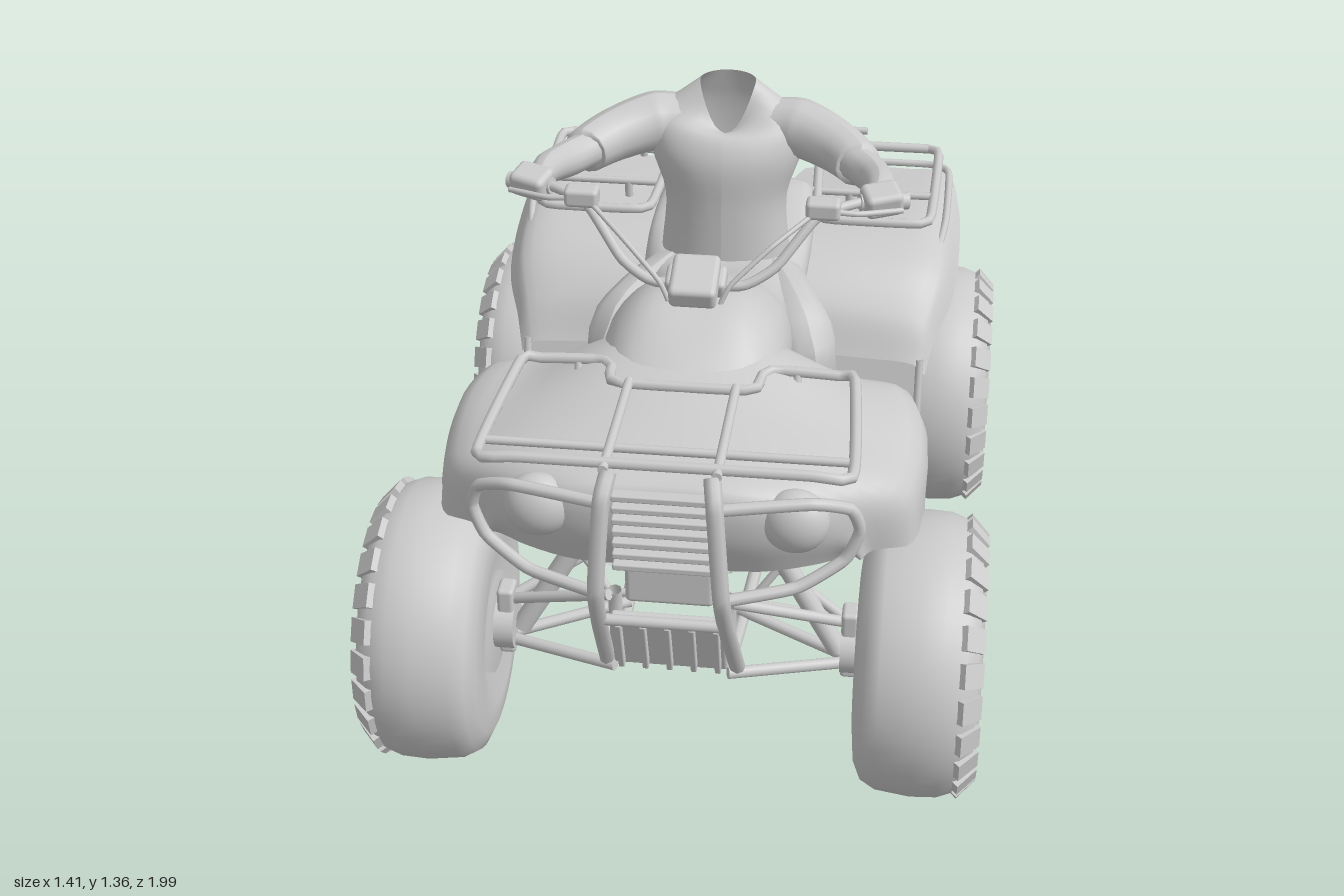
import * as THREE from 'three';
import { mergeGeometries } from 'three/addons/utils/BufferGeometryUtils.js';
import { RoundedBoxGeometry } from 'three/addons/geometries/RoundedBoxGeometry.js';

const mat = new THREE.MeshStandardMaterial({ color: 0xcccccc, side: THREE.DoubleSide });
const V = (p) => new THREE.Vector3(p[0], p[1], p[2]);

export function createModel() {
  const root = new THREE.Group();
  const add = (name, geo, parent = root) => {
    const m = new THREE.Mesh(geo, mat);
    m.name = name;
    parent.add(m);
    return m;
  };
  const both = (fn) => [1, -1].forEach((s) => fn(s, (pts) => pts.map(([x, ...r]) => [x * s, ...r])));
  const box = (name, w, h, d, x, y, z, rx = 0) => {
    const m = add(name, new RoundedBoxGeometry(w, h, d, 2, Math.min(w, h, d) * 0.25));
    m.position.set(x, y, z);
    m.rotation.x = rx;
    return m;
  };
  // Tube through points, tight corners
  const tube = (name, pts, r, closed = false) => add(name, new THREE.TubeGeometry(
    new THREE.CatmullRomCurve3(pts.map(V), closed, 'catmullrom', 0.25), pts.length * 6, r, 8, closed));
  // Straight rod between two points
  const rod = (name, a, b, r, sides = 12) => {
    const d = V(b).sub(V(a));
    const m = add(name, new THREE.CylinderGeometry(r, r, d.length(), sides));
    m.position.copy(V(a)).addScaledVector(d, 0.5);
    m.quaternion.setFromUnitVectors(new THREE.Vector3(0, 1, 0), d.normalize());
    return m;
  };
  // Tapered limb: each point is x, y, z, radius
  const limb = (name, pts) => {
    const curve = new THREE.CatmullRomCurve3(pts.map(V));
    const n = 28, sides = 14, geo = new THREE.TubeGeometry(curve, n, 1, sides);
    const p = geo.attributes.position, v = new THREE.Vector3();
    for (let i = 0; i <= n; i++) {
      const c = curve.getPointAt(i / n), t = curve.getUtoTmapping(i / n) * (pts.length - 1);
      const k = Math.min(Math.floor(t), pts.length - 2);
      const r = THREE.MathUtils.lerp(pts[k][3], pts[k + 1][3], t - k);
      for (let j = 0; j <= sides; j++) {
        const q = i * (sides + 1) + j;
        v.fromBufferAttribute(p, q).sub(c).multiplyScalar(r).add(c);
        p.setXYZ(q, v.x, v.y, v.z);
      }
    }
    geo.computeVertexNormals();
    return add(name, geo);
  };
  // Smooth skin over a row of cross-sections
  const skin = (name, rows, nu = 32, nv = 30, closed = false) => {
    const cross = rows.map((r) => new THREE.CatmullRomCurve3(r.map(V), closed).getPoints(nu));
    const pos = [], idx = [];
    for (let i = 0; i <= nu; i++) {
      new THREE.CatmullRomCurve3(cross.map((c) => c[i])).getPoints(nv).forEach((p) => pos.push(p.x, p.y, p.z));
      if (i < nu) for (let j = 0; j < nv; j++) {
        const a = i * (nv + 1) + j, b = a + nv + 1;
        idx.push(a, b, a + 1, b, b + 1, a + 1);
      }
    }
    const geo = new THREE.BufferGeometry();
    geo.setAttribute('position', new THREE.Float32BufferAttribute(pos, 3));
    geo.setIndex(idx);
    geo.computeVertexNormals();
    return add(name, geo);
  };
  // Half section given as x, y and optional z shift at depth z, mirrored across the middle
  const half = (z, ...p) => {
    const side = (s) => p.map(([x, y, dz = 0]) => [x * s, y, z + dz]);
    return [...side(-1).slice(1).reverse(), ...side(1)];
  };

  // Bodywork
  skin('frontCowl', [
    half(0.83, [0, 0.75], [0.2, 0.75], [0.32, 0.75, -0.04], [0.38, 0.745, -0.08], [0.41, 0.74, -0.1]),
    half(0.87, [0, 0.86], [0.2, 0.86], [0.33, 0.84, -0.05], [0.39, 0.8, -0.09], [0.42, 0.75, -0.11]),
    half(0.86, [0, 0.97], [0.2, 0.96], [0.34, 0.92, -0.05], [0.41, 0.85, -0.09], [0.44, 0.76, -0.12]),
    half(0.74, [0, 1.0], [0.2, 0.99], [0.38, 0.95, -0.01], [0.5, 0.88, -0.04], [0.53, 0.75, -0.05]),
    half(0.58, [0, 1.03], [0.2, 1.01], [0.4, 0.95], [0.53, 0.88], [0.55, 0.72]),
    half(0.4, [0, 1.07], [0.17, 1.05], [0.36, 0.96], [0.53, 0.9], [0.55, 0.68]),
    half(0.27, [0, 1.05], [0.17, 1.0], [0.35, 0.92], [0.49, 0.89], [0.53, 0.66]),
    half(0.2, [0, 0.95], [0.17, 0.88], [0.33, 0.76], [0.48, 0.74], [0.52, 0.64]),
  ]);
  skin('tankAndSeat', [
    half(0.52, [0, 1.04], [0.13, 1.02], [0.18, 0.98], [0.2, 0.9], [0.18, 0.76]),
    half(0.34, [0, 1.13], [0.12, 1.12], [0.2, 1.04], [0.22, 0.9], [0.2, 0.72]),
    half(0.15, [0, 1.1], [0.12, 1.08], [0.2, 1.0], [0.21, 0.85], [0.18, 0.64]),
    half(0, [0, 1.025], [0.11, 1.01], [0.18, 0.94], [0.2, 0.82], [0.17, 0.62]),
    half(-0.2, [0, 0.94], [0.15, 0.93], [0.2, 0.87], [0.2, 0.79], [0.18, 0.64]),
    half(-0.45, [0, 0.93], [0.17, 0.93], [0.21, 0.91], [0.21, 0.83], [0.19, 0.74]),
    half(-0.69, [0, 0.94], [0.17, 0.94], [0.2, 0.91], [0.21, 0.87], [0.21, 0.82]),
    half(-0.72, [0, 0.86], [0.17, 0.86], [0.2, 0.85], [0.21, 0.84], [0.21, 0.82]),
  ]);
  skin('rearFender', [
    half(-0.24, [0.01, 0.68], [0.2, 0.67], [0.4, 0.66], [0.5, 0.65], [0.53, 0.62]),
    half(-0.3, [0.01, 0.8], [0.2, 0.79], [0.4, 0.77], [0.52, 0.74], [0.55, 0.69]),
    half(-0.42, [0.01, 0.87], [0.2, 0.87], [0.42, 0.86], [0.55, 0.83], [0.59, 0.75]),
    half(-0.7, [0.01, 0.88], [0.2, 0.88], [0.45, 0.89], [0.55, 0.88], [0.6, 0.82]),
    half(-0.93, [0.01, 0.86, 0.09], [0.12, 0.86, 0.09], [0.17, 0.86], [0.45, 0.87], [0.55, 0.87, 0.01], [0.58, 0.85, 0.05]),
  ].map((r) => new THREE.CatmullRomCurve3(r.map(V)).getPoints(16).map((p) => p.toArray())));
  both((s, mx) => {
    const path = [[0.65, 0.22], [0.52, 0.25], [0.41, 0.2], [0.38, 0.1], [0.38, -0.1], [0.42, -0.19], [0.55, -0.22], [0.66, -0.25]];
    skin('footwell', path.map(([y, z]) => mx([[0.2, y, z], [0.36, y, z], [0.52, y, z]])), 6, 30);
    tube('footwellRim', path.map(([y, z]) => [0.515 * s, y, z]), 0.01);
    tube('lowerFrameRail', mx([[0.13, 0.62, 0.76], [0.13, 0.42, 0.72], [0.15, 0.38, 0.3], [0.15, 0.36, -0.1], [0.14, 0.42, -0.27], [0.14, 0.8, -0.42]]), 0.016);
    tube('upperFrameRail', mx([[0.13, 0.73, 0.8], [0.13, 0.7, 0.4], [0.14, 0.62, 0.1], [0.14, 0.66, -0.25], [0.14, 0.83, -0.6], [0.14, 0.84, -0.82]]), 0.014);
    tube('frameBrace', mx([[0.14, 0.72, 0.5], [0.14, 0.38, 0.25]]), 0.014);
  });

  // Engine
  box('engineCase', 0.26, 0.25, 0.44, 0, 0.51, 0.06);
  box('cylinderBlock', 0.2, 0.2, 0.2, 0, 0.67, 0.12, -0.2);
  both((s) => rod('engineCover', [0.12 * s, 0.55, 0.12], [0.19 * s, 0.55, 0.12], 0.1, 28));
  rod('exhaust', [0.3, 0.765, -0.5], [0.3, 0.765, -0.9], 0.034, 20);
  tube('exhaustPipe', [[0.1, 0.66, 0.18], [0.17, 0.6, 0.05], [0.18, 0.68, -0.25], [0.3, 0.765, -0.5]], 0.018);

  // Front face: grille, lamps, bumper
  for (let i = 0; i < 7; i++) box('grilleSlat', 0.22, 0.016, 0.03, 0, 0.79 + i * 0.03, 0.89);
  box('frontSkidPlate', 0.26, 0.17, 0.03, 0, 0.52, 0.8, 0.3);
  for (let i = -2; i <= 2; i++) box('skidRib', 0.014, 0.16, 0.03, i * 0.055, 0.52, 0.82, 0.3);
  box('radiator', 0.2, 0.12, 0.05, 0, 0.68, 0.78);
  both((s, mx) => {
    const lamp = add('headlight', new THREE.SphereGeometry(0.075, 24, 16));
    lamp.position.set(0.28 * s, 0.9, 0.84);
    lamp.scale.z = 0.75;
    tube('headlightGuard', mx([[0.12, 0.99, 0.95], [0.32, 0.995, 0.91], [0.4, 0.96, 0.87], [0.42, 0.9, 0.86], [0.39, 0.83, 0.87], [0.29, 0.775, 0.91], [0.13, 0.76, 0.96]]), 0.014);
    tube('bumperPost', mx([[0.11, 1.05, 0.92], [0.12, 1.0, 0.965], [0.135, 0.78, 0.975], [0.14, 0.66, 0.92], [0.15, 0.42, 0.76]]), 0.019);
  });
  rod('bumperCrossBar', [-0.14, 0.66, 0.92], [0.14, 0.66, 0.92], 0.013);

  // Front rack
  tube('frontRackFrame', [[-0.4, 1.045, 0.87], [-0.38, 1.035, 0.47], [-0.34, 1.03, 0.45], [-0.2, 1.035, 0.45], [-0.17, 1.035, 0.48],
    [-0.15, 1.04, 0.55], [0.15, 1.04, 0.55], [0.17, 1.035, 0.48], [0.2, 1.035, 0.45], [0.34, 1.03, 0.45], [0.38, 1.035, 0.47],
    [0.4, 1.045, 0.87], [0.3, 1.06, 0.9], [-0.3, 1.06, 0.9]], 0.013, true);
  both((s, mx) => {
    rod('frontRackBar', ...mx([[0.12, 1.045, 0.55], [0.12, 1.06, 0.93]]), 0.011);
    rod('frontRackLeg', ...mx([[0.25, 1.03, 0.45], [0.25, 0.99, 0.47]]), 0.01);
  });
  rod('frontRackCross', [-0.39, 1.045, 0.82], [0.39, 1.045, 0.82], 0.01);

  // Rear rack
  both((s, mx) => {
    tube('rearRackLoop', mx([[0.2, 0.93, -0.93], [0.22, 0.93, -0.53], [0.26, 0.93, -0.49], [0.48, 0.93, -0.49], [0.52, 0.93, -0.53], [0.53, 0.93, -0.91], [0.5, 0.93, -0.94]]), 0.013);
    tube('rearSideRail', mx([[0.54, 0.84, -0.48], [0.56, 0.875, -0.62], [0.56, 0.88, -0.9], [0.5, 0.87, -0.965], [0.2, 0.87, -0.965]]), 0.01);
    rod('rearRackBar', ...mx([[0.2, 0.93, -0.65], [0.53, 0.93, -0.65]]), 0.01);
    rod('rearRackPost', ...mx([[0.3, 0.86, -0.94], [0.3, 0.985, -0.92]]), 0.011);
    rod('rearRackLeg', ...mx([[0.3, 0.93, -0.65], [0.3, 0.87, -0.65]]), 0.011);
  });
  rod('rearRackBackBar', [-0.5, 0.93, -0.94], [0.5, 0.93, -0.94], 0.013);
  rod('rearRackTopBar', [-0.33, 0.985, -0.92], [0.33, 0.985, -0.92], 0.01);
  box('tailLamp', 0.18, 0.06, 0.05, 0, 0.87, -0.95);

  // Steering
  rod('steeringColumn', [0, 0.6, 0.55], [0, 1.15, 0.28], 0.025);
  box('instrumentPod', 0.11, 0.055, 0.13, 0, 1.18, 0.32, 0.3);
  box('podBase', 0.14, 0.045, 0.07, 0, 1.165, 0.29, 0.3);
  tube('handlebar', [[-0.47, 1.29, 0.08], [-0.38, 1.3, 0.11], [-0.27, 1.29, 0.18], [-0.18, 1.19, 0.25], [-0.1, 1.15, 0.28],
    [0.1, 1.15, 0.28], [0.18, 1.19, 0.25], [0.27, 1.29, 0.18], [0.38, 1.3, 0.11], [0.47, 1.29, 0.08]], 0.012);
  both((s, mx) => {
    rod('grip', ...mx([[0.36, 1.3, 0.12], [0.47, 1.29, 0.08]]), 0.02);
    box('controlPod', 0.08, 0.045, 0.05, 0.28 * s, 1.31, 0.18);
    tube('brakeLever', mx([[0.27, 1.31, 0.19], [0.36, 1.3, 0.18], [0.46, 1.29, 0.13]]), 0.007);
    tube('brakeCable', mx([[0.26, 1.3, 0.19], [0.17, 1.25, 0.27], [0.08, 1.17, 0.32], [0.04, 1.08, 0.34]]), 0.006);
  });

  // Suspension and axles
  both((s, mx) => {
    for (const z of [0.54, 0.78]) {
      rod('lowerArm', ...mx([[0.13, 0.42, z], [0.42, 0.39, 0.665]]), 0.014);
      rod('upperArm', ...mx([[0.14, 0.62, z], [0.4, 0.5, 0.665]]), 0.013);
    }
    rod('frontShock', ...mx([[0.17, 0.76, 0.62], [0.37, 0.42, 0.66]]), 0.024);
    rod('shockStrut', ...mx([[0.33, 0.74, 0.58], [0.16, 0.5, 0.62]]), 0.01);
    rod('tieRod', ...mx([[0.06, 0.5, 0.6], [0.4, 0.46, 0.6]]), 0.01);
    rod('frontHub', ...mx([[0.38, 0.43, 0.665], [0.45, 0.43, 0.665]]), 0.06, 20);
    box('knuckle', 0.04, 0.18, 0.06, 0.4 * s, 0.45, 0.665);
    rod('swingArm', ...mx([[0.09, 0.44, -0.12], [0.12, 0.36, -0.67]]), 0.028, 8);
    rod('swingArmBrace', ...mx([[0.08, 0.6, -0.3], [0.1, 0.39, -0.62]]), 0.018, 8);
    rod('bearingFlange', ...mx([[0.13, 0.345, -0.665], [0.16, 0.345, -0.665]]), 0.045, 20);
    rod('rearHub', ...mx([[0.38, 0.345, -0.665], [0.42, 0.345, -0.665]]), 0.05, 20);
  });
  rod('rearAxle', [-0.42, 0.345, -0.665], [0.42, 0.345, -0.665], 0.028, 16);
  rod('brakeDisc', [-0.115, 0.345, -0.665], [-0.105, 0.345, -0.665], 0.075, 28);
  rod('sprocket', [0.1, 0.345, -0.665], [0.11, 0.345, -0.665], 0.065, 20);
  rod('rearShock', [0, 0.4, -0.52], [0, 0.78, -0.34], 0.035, 16);

  // Wheels
  const tireGeo = new THREE.LatheGeometry([[0, -0.132], [0.12, -0.132], [0.122, -0.115], [0.19, -0.14], [0.26, -0.133], [0.3, -0.115],
    [0.32, -0.08], [0.33, 0], [0.327, 0.06], [0.31, 0.105], [0.285, 0.133], [0.23, 0.143], [0.185, 0.14], [0.172, 0.11], [0.16, 0.06], [0.12, 0.05],
  ].map(([r, a]) => new THREE.Vector2(r, a)), 56).rotateZ(-Math.PI / 2);
  const lugs = [];
  for (let i = 0; i < 24; i++) {
    lugs.push(new THREE.BoxGeometry(0.026, 0.06, 0.055).rotateZ(0.75).translate(0.116, 0.294, 0).rotateX(i * Math.PI / 12));
  }
  const lugGeo = mergeGeometries(lugs);
  const disc = new THREE.Shape().absarc(0, 0, 0.135, 0, Math.PI * 2);
  for (let i = 0; i < 7; i++) {
    const a = i * Math.PI * 2 / 7;
    disc.holes.push(new THREE.Path().absarc(0.1 * Math.cos(a), 0.1 * Math.sin(a), 0.024, 0, Math.PI * 2, true));
  }
  const discGeo = new THREE.ExtrudeGeometry(disc, { depth: 0.015, bevelEnabled: false, curveSegments: 24 }).rotateY(Math.PI / 2).translate(0.05, 0, 0);
  const hubGeo = new THREE.CylinderGeometry(0.03, 0.055, 0.05, 20).rotateZ(-Math.PI / 2).translate(0.085, 0, 0);
  const wheelParts = { tire: tireGeo, treadLugs: lugGeo, rimDisc: discGeo, hub: hubGeo };
  for (const [label, y, z] of [['front', 0.43, 0.665], ['rear', 0.34, -0.665]]) both((s) => {
    const w = new THREE.Group();
    w.name = label + 'Wheel';
    w.position.set(0.558 * s, y, z);
    if (s < 0) w.rotation.y = Math.PI;
    Object.entries(wheelParts).forEach(([n, g]) => add(n, g, w));
    root.add(w);
  });

  // Rider: torso rings from hips to open collar; the last rings dip at the chest
  const ring = (y, rx, rz, z, dip = 0) => Array.from({ length: 16 }, (_, i) => {
    const a = i * Math.PI / 8, f = Math.max(0, Math.cos(a));
    return [rx * Math.sin(a), y - dip * f ** 2, z + rz * Math.cos(a)];
  });
  skin('riderTorso', [ring(0.82, 0.17, 0.12, -0.33), ring(0.92, 0.165, 0.115, -0.33), ring(1.08, 0.155, 0.115, -0.335), ring(1.2, 0.19, 0.115, -0.34),
    ring(1.28, 0.19, 0.095, -0.355, 0.02), ring(1.33, 0.125, 0.075, -0.365, 0.07), ring(1.37, 0.07, 0.06, -0.37, 0.12)], 32, 24, true);
  both((s, mx) => {
    limb('riderSleeve', mx([[0.08, 1.26, -0.37, 0.06], [0.18, 1.255, -0.355, 0.075], [0.28, 1.24, -0.29, 0.066], [0.34, 1.23, -0.21, 0.057], [0.34, 1.23, -0.2, 0.04]]));
    limb('riderForearm', mx([[0.3, 1.235, -0.26, 0.045], [0.37, 1.235, -0.16, 0.045], [0.4, 1.265, -0.04, 0.038], [0.4, 1.29, 0.06, 0.027], [0.4, 1.3, 0.1, 0.028]]));
    box('riderHand', 0.09, 0.06, 0.075, 0.41 * s, 1.305, 0.11, 0.2).rotation.y = 0.35 * s;
    limb('riderLeg', mx([[0.08, 0.86, -0.34, 0.07], [0.14, 0.85, -0.24, 0.085], [0.2, 0.86, -0.08, 0.08], [0.225, 0.84, -0.02, 0.083],
      [0.24, 0.7, -0.025, 0.072], [0.25, 0.56, -0.04, 0.06], [0.25, 0.46, -0.05, 0.05]]));
    limb('riderShoe', mx([[0.25, 0.44, -0.12, 0.012], [0.25, 0.45, -0.09, 0.045], [0.26, 0.45, 0, 0.045], [0.27, 0.435, 0.07, 0.035], [0.27, 0.43, 0.1, 0.01]]));
  });
  return root;
}
